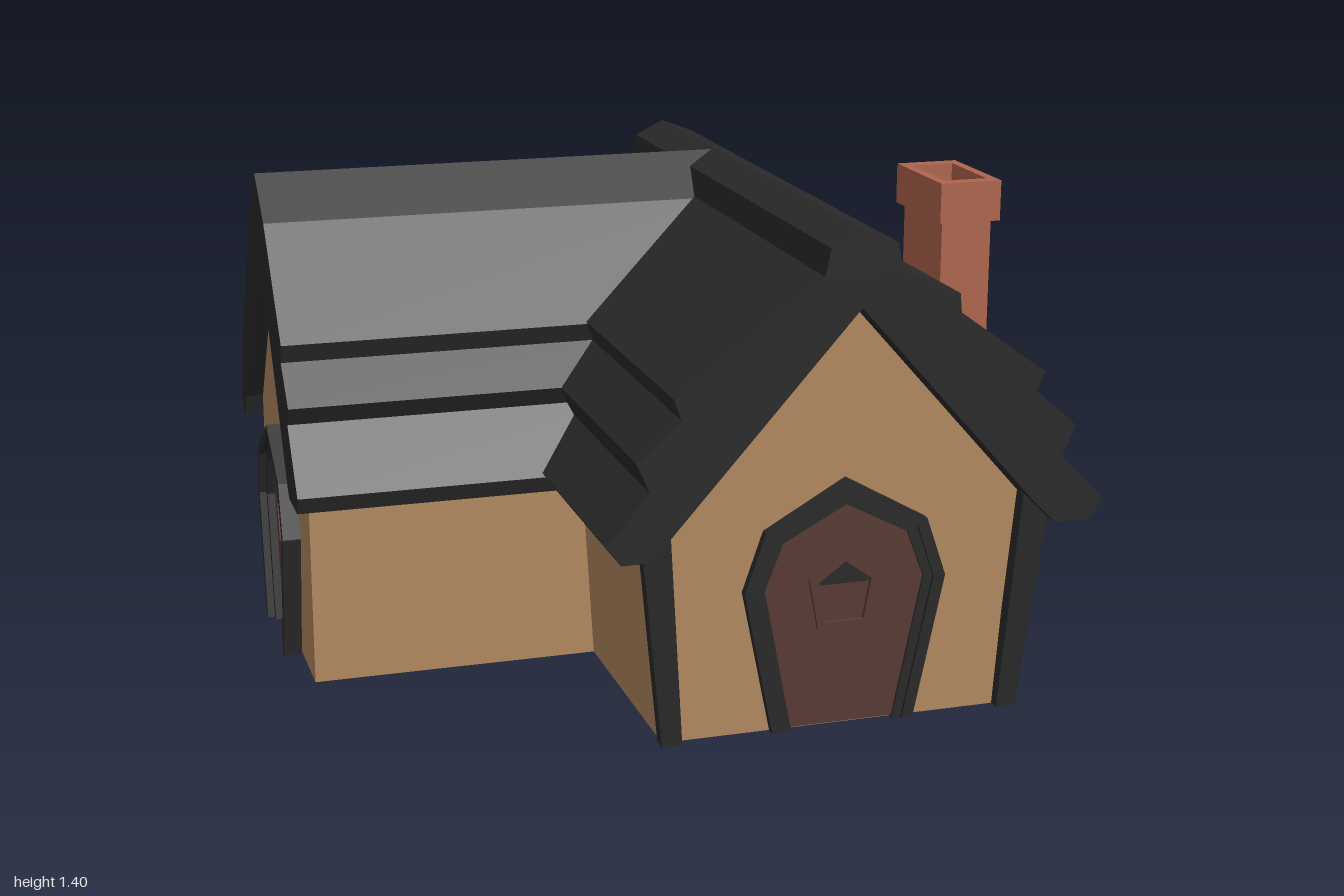
import * as THREE from 'three';

const paint = (name, color, side = THREE.FrontSide) => {
  const m = new THREE.MeshStandardMaterial({ color, side });
  m.name = name;
  return m;
};

export function createModel() {
  const house = new THREE.Group();
  house.name = 'cottage';
  const charcoal = paint('charcoal', 0x292929);
  const plaster = paint('tan plaster', 0xb2895f, THREE.DoubleSide);
  const brown = paint('door brown', 0x583a34);
  const orange = paint('window orange', 0x995c2f);
  const brick = paint('brick', 0xae654e);

  const toShape = (pts) => new THREE.Shape(pts.map(([x, y]) => new THREE.Vector2(x, y)));
  const add = (parent, name, geo, mat) => {
    const mesh = new THREE.Mesh(geo, mat);
    mesh.name = name;
    parent.add(mesh);
    return mesh;
  };
  // outline in x,y pushed out between two depths
  const prism = (pts, z0, z1, hole) => {
    const shape = toShape(pts);
    if (hole) shape.holes.push(toShape(hole));
    return new THREE.ExtrudeGeometry(shape, { depth: z1 - z0, bevelEnabled: false }).translate(0, 0, z0);
  };
  const rect = (x0, y0, x1, y1) => [[x0, y0], [x1, y0], [x1, y1], [x0, y1]];
  // full outline from its right half, listed from bottom to top
  const mirrored = (half, cx = 0) => [
    ...half.map(([x, y]) => [cx + x, y]),
    ...half.filter(([x]) => x > 0).reverse().map(([x, y]) => [cx - x, y]),
  ];

  // ---- walls: open shell on an L-shaped plan, the main side walls leaning outward
  const FRONT = 0.74, CORNER = 0.765, BACK = -0.745, END = -0.95, WING = 0.085;
  const CX = 0.32, HALF = 0.482, LEAN = 0.06;
  const flat = (pts) => new THREE.ShapeGeometry(toShape(pts));
  const gable = mirrored([[HALF, 0.01], [HALF + 0.6 * LEAN, 0.62], [0, 1.17]], CX);
  add(house, 'frontGableWall', flat(gable).translate(0, 0, FRONT), plaster);
  add(house, 'backGableWall', flat(gable).rotateY(Math.PI).translate(2 * CX, 0, BACK), plaster);
  add(house, 'wingFrontWall', flat(rect(END, 0.01, CX - HALF, 0.62)).translate(0, 0, WING), plaster);
  add(house, 'wingBackWall', flat(rect(HALF - CX, 0.01, -END, 0.62)).rotateY(Math.PI).translate(0, 0, BACK), plaster);
  add(house, 'leftWall', flat(rect(-CORNER, 0.01, -BACK, 0.62)).rotateY(Math.PI / 2)
    .rotateZ(-LEAN).translate(CX + HALF, 0, 0), plaster);
  add(house, 'innerWall', flat(rect(WING, 0.01, CORNER, 0.62)).rotateY(-Math.PI / 2)
    .rotateZ(LEAN).translate(CX - HALF, 0, 0), plaster);
  const endGable = [[BACK, 0.01], [WING, 0.01], [WING, 0.67], [-0.33, 1.18], [BACK, 0.62]];
  add(house, 'wingEndWall', flat(endGable).rotateY(-Math.PI / 2).translate(END, 0, 0), plaster);

  // ---- main roof: stepped shingle courses, with a smooth valley side behind the wing ridge
  const RIDGE = -0.34;
  const steppedSide = [[0.87, 0.54], [0.965, 0.54], [1, 0.595], [0.88, 0.72], [0.915, 0.8], [0.8, 0.9],
    [0.82, 0.95], [0.585, 1.12], [0.58, 1.17], [0.425, 1.24], [0.41, 1.31], [CX, 1.345]];
  const courseSide = [[0.235, 1.305], [0.22, 1.235], [-0.165, 0.955], [-0.145, 0.9], [-0.26, 0.8],
    [-0.225, 0.72], [-0.34, 0.595], [-0.3, 0.54], [-0.23, 0.54]];
  const valleySide = [[0.235, 1.305], [0.22, 1.235], [0.06, 1.05], [-0.1, 0.87], [-0.22, 0.68],
    [-0.3, 0.56], [-0.23, 0.54]];
  const underside = [[CX - 0.485, 0.605], [CX, 1.15], [CX + 0.485, 0.605]];
  add(house, 'mainRoof', prism([...steppedSide, ...courseSide, ...underside], RIDGE, 0.84), charcoal);
  add(house, 'mainRoofBack', prism([...steppedSide, ...valleySide, ...underside], -0.84, RIDGE), charcoal);

  // ---- wing roof: its inner end is sheared to follow the main roof slope
  const wingSection = [[0.06, 0.56], [0.08, 0.54], [0.215, 0.54], [0.23, 0.585], [0.1, 0.75], [0.125, 0.8],
    [0.025, 0.9], [0.04, 0.95], [-0.2, 1.23], [RIDGE, 1.342], [-0.5, 1.18], [-0.785, 0.72],
    [-0.79, 0.67], [-0.84, 0.58], [-0.81, 0.54], [-0.76, 0.54], [-0.74, 0.6], [-0.33, 1.16]];
  const wingGeo = prism(wingSection, 0, 1).rotateY(-Math.PI / 2);
  const p = wingGeo.attributes.position;
  for (let i = 0; i < p.count; i++) {
    const inner = p.getX(i) > -0.5;
    p.setX(i, inner ? CX - (1.34 - p.getY(i)) * 0.75 : -1);
  }
  wingGeo.computeVertexNormals();
  add(house, 'wingRoof', wingGeo, charcoal);

  // ---- corner posts on the front gable, leaning slightly forward
  for (const s of [1, -1]) {
    const post = [[0.437, 0.01], [0.492, 0.01], [0.55, 0.55], [0.48, 0.63]].map(([x, y]) => [CX + s * x, y]);
    add(house, 'frontPost', prism(post, -0.04, 0).rotateX(0.04).translate(0, 0, CORNER + 0.004), charcoal);
  }

  // ---- timber arch on the back gable
  const archOuter = [[0.49, 0.01], [0.54, 0.56], [0.4, 0.67], [0, 0.73]];
  const archInner = [[0.43, 0.01], [0.47, 0.53], [0.37, 0.61], [0, 0.665]];
  const band = (outer, inner) => [...mirrored(outer), ...mirrored(inner).reverse()];
  add(house, 'backArch', prism(band(archOuter, archInner), BACK - 0.04, BACK + 0.01).translate(CX, 0, 0), charcoal);

  // ---- doors
  const makeDoor = (out) => {
    const door = new THREE.Group();
    door.name = 'door';
    const outer = [[0.195, 0.008], [0.275, 0.4], [0.22, 0.56], [0, 0.685]];
    const middle = [[0.165, 0.008], [0.243, 0.4], [0.195, 0.54], [0, 0.652]];
    const inner = [[0.14, 0.008], [0.218, 0.4], [0.17, 0.525], [0, 0.615]];
    add(door, 'doorFrame', prism(band(outer, middle), -0.01, out), charcoal);
    add(door, 'doorFrameInner', prism(band(middle, inner), -0.01, out * 0.6), charcoal);
    add(door, 'doorPanel', prism(mirrored([[0.15, 0.015], [0.22, 0.4], [0.175, 0.53], [0, 0.625]]), -0.015, 0.008), brown);
    const ring = mirrored([[0.072, 0.28], [0.098, 0.42], [0, 0.49]]);
    const pane = mirrored([[0.052, 0.3], [0.072, 0.41], [0, 0.462]]);
    add(door, 'doorWindowFrame', prism(ring, 0.008, 0.02, pane), brown);
    add(door, 'doorWindowShade', prism(mirrored([[0.07, 0.4], [0.072, 0.41], [0, 0.462]]), 0.008, 0.012), charcoal);
    house.add(door);
    return door;
  };
  makeDoor(0.025).position.set(CX + 0.004, 0, FRONT);
  const endDoor = makeDoor(0.05);
  endDoor.position.set(END, -0.006, -0.32);
  endDoor.rotation.y = -Math.PI / 2;
  endDoor.scale.set(0.86, 0.93, 1);

  // ---- windows: orange surround with two dark sashes
  const makeWindow = (x, z, turn, lean) => {
    const win = new THREE.Group();
    win.name = 'window';
    const edge = mirrored([[0.1, 0.146], [0.127, 0.16], [0.127, 0.21], [0.115, 0.23], [0.115, 0.34],
      [0.129, 0.36], [0.124, 0.4], [0.1, 0.42], [0.07, 0.405]]);
    add(win, 'windowSurround', prism(edge, 0, 0.006), orange);
    for (const s of [-1, 1]) {
      const c = s * 0.056;
      add(win, 'sash', prism(rect(c - 0.044, 0.34, c + 0.044, 0.39), 0.006, 0.01), charcoal);
      add(win, 'pane', prism(rect(c - 0.044, 0.178, c + 0.044, 0.34), 0.006, 0.01), brown);
    }
    win.position.set(x, 0, z);
    win.rotation.set(lean, turn, 0, 'YXZ');
    house.add(win);
  };
  makeWindow(CX + HALF, 0.395, Math.PI / 2, LEAN);
  makeWindow(CX + HALF, -0.365, Math.PI / 2, LEAN);
  makeWindow(0.32, BACK, Math.PI, 0);
  makeWindow(-0.56, BACK, Math.PI, 0);

  // ---- hollow chimney
  const chimney = new THREE.Group();
  chimney.name = 'chimney';
  const tube = (w, d, y0, y1) =>
    prism(rect(-w, -d, w, d), y0, y1, rect(-0.058, -0.11, 0.058, 0.11)).rotateX(-Math.PI / 2);
  add(chimney, 'chimneyStack', tube(0.068, 0.125, 0.9, 1.3), brick);
  add(chimney, 'chimneyCap', tube(0.083, 0.148, 1.295, 1.4), brick);
  add(chimney, 'chimneyFloor', new THREE.BoxGeometry(0.12, 0.02, 0.23).translate(0, 1.2, 0), brick);
  chimney.position.set(0.703, 0, 0.46);
  house.add(chimney);

  return house;
}
